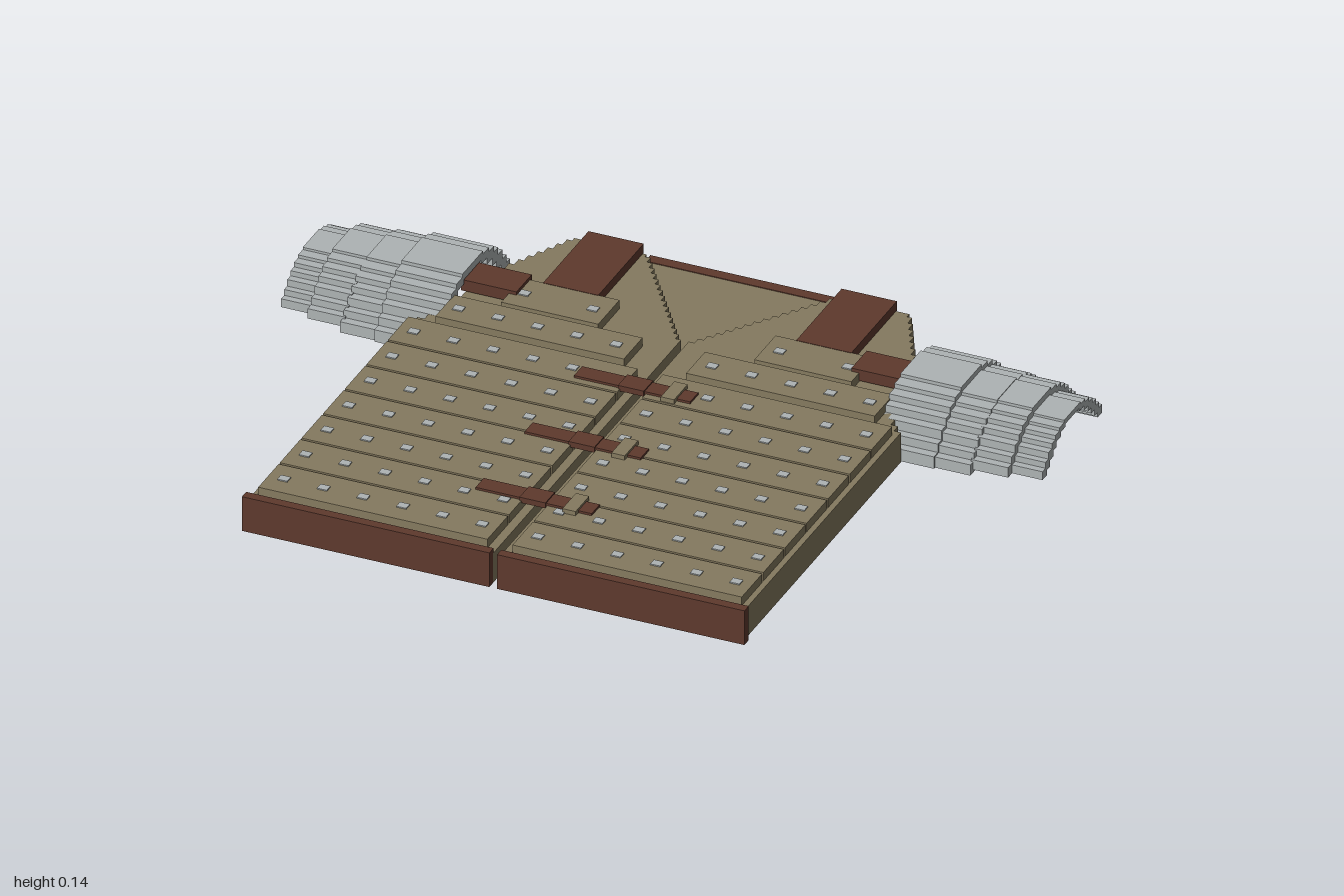
import * as THREE from 'three';

export function createModel() {
  const root = new THREE.Group();
  root.name = 'armourVest';
  const mat = (name, color) => {
    const m = new THREE.MeshStandardMaterial({ color });
    m.name = name;
    return m;
  };
  const cloth = mat('olive cloth', 0x857a5f);
  const leather = mat('brown leather', 0x5e392d);
  const steel = mat('grey steel', 0xaeb3b4);

  // Box given by its limits on each axis
  const box = (parent, name, material, x0, x1, y0, y1, z0, z1) => {
    const mesh = new THREE.Mesh(new THREE.BoxGeometry(Math.abs(x1 - x0), y1 - y0, z1 - z0), material);
    mesh.position.set((x0 + x1) / 2, (y0 + y1) / 2, (z0 + z1) / 2);
    mesh.name = name;
    parent.add(mesh);
    return mesh;
  };

  // Staircase of points from a to b in the ground plane
  const stairs = (a, b, n) => {
    const pts = [];
    for (let i = 0; i < n; i++) {
      const x0 = a[0] + (b[0] - a[0]) * i / n;
      const x1 = a[0] + (b[0] - a[0]) * (i + 1) / n;
      const z = a[1] + (b[1] - a[1]) * (i + 0.5) / n;
      pts.push([x0, z], [x1, z]);
    }
    return pts;
  };

  // Flat slab from an (x, z) outline, standing on the ground
  const slab = (name, pts, height, material) => {
    const shape = new THREE.Shape(pts.map(([x, z]) => new THREE.Vector2(x, z)));
    const geo = new THREE.ExtrudeGeometry(shape, { depth: height, bevelEnabled: false });
    geo.rotateX(Math.PI / 2).translate(0, height, 0);
    const mesh = new THREE.Mesh(geo, material);
    mesh.name = name;
    root.add(mesh);
  };

  // Half outline: front slit, V neck, shoulder, armhole, flank
  const half = [
    [0.01, 0.735], [0.01, -0.36],
    ...stairs([0.01, -0.36], [0.25, -0.705], 16),
    [0.25, -0.705], [0.44, -0.705],
    ...stairs([0.44, -0.705], [0.575, -0.44], 10),
    [0.575, -0.44], [0.575, -0.27],
    ...stairs([0.575, -0.27], [0.65, -0.175], 4),
    [0.65, -0.175], [0.65, 0.735],
  ];

  // Sunken back panel behind the neck opening, and its collar
  slab('backPanel', [[0, -0.355], [0.25, -0.7], [0.26, -0.735], [-0.26, -0.735], [-0.25, -0.7]], 0.045, cloth);
  box(root, 'collar', leather, -0.265, 0.265, 0, 0.047, -0.76, -0.73);

  // Curved pauldron cross-section: [inner dz, outer dz, low y, high y]
  const arc = [
    [0, 0.06, 0.12, 0.14], [0.05, 0.095, 0.108, 0.131], [0.085, 0.125, 0.09, 0.119],
    [0.115, 0.15, 0.068, 0.102], [0.14, 0.175, 0.045, 0.082], [0.165, 0.197, 0.02, 0.056],
    [0.188, 0.22, 0, 0.033],
  ];
  // Pauldron bands: [inner x, outer x, half width, top, bottom]
  const bands = [
    [0.575, 0.735, 0.22, 0.14, 0], [0.73, 0.828, 0.214, 0.126, 0],
    [0.822, 0.92, 0.198, 0.124, 0.008], [0.912, 1.0, 0.175, 0.106, 0.008],
  ];

  // Row of rivets on a plate
  const rivets = (s, xs, y, z) => xs.forEach((x) =>
    box(root, 'rivet', steel, s * x - 0.013, s * x + 0.013, y, y + 0.004, z - 0.011, z + 0.011));
  const spread = (a, b, n) => Array.from({ length: n }, (_, i) => a + (b - a) * i / (n - 1));

  for (const s of [1, -1]) {
    slab('frontHalf', half.map(([x, z]) => [s * x, z]), 0.082, cloth);
    box(root, 'hem', leather, s * 0.01, s * 0.66, 0, 0.095, 0.73, 0.755);

    // Seven belly plates
    for (let i = 0; i < 7; i++) {
      const z = -0.107 + i * 0.127;
      box(root, 'bellyPlate', cloth, s * 0.033, s * 0.635, 0.08, 0.106, z - 0.06, z + 0.06);
      rivets(s, spread(0.073, 0.594, 6), 0.105, z);
    }

    // Chest plates
    box(root, 'chestPlate', cloth, s * 0.082, s * 0.577, 0.08, 0.106, -0.305, -0.195);
    rivets(s, spread(0.126, 0.54, 5), 0.105, -0.25);
    box(root, 'upperChestPlate', cloth, s * 0.205, s * 0.46, 0.08, 0.106, -0.445, -0.32);
    rivets(s, [0.245, 0.425], 0.105, -0.38);

    // Shoulder strap and the strap holding the pauldron
    box(root, 'shoulderStrap', leather, s * 0.26, s * 0.405, 0.08, 0.107, -0.71, -0.443);
    box(root, 'pauldronStrap', leather, s * 0.44, s * 0.585, 0.085, 0.115, -0.455, -0.365);

    // Banded steel pauldron
    const pauldron = new THREE.Group();
    pauldron.name = s > 0 ? 'leftPauldron' : 'rightPauldron';
    root.add(pauldron);
    for (const [x0, x1, w, top, base] of bands) {
      const kz = w / 0.22, ky = (top - base) / 0.14;
      arc.forEach(([d0, d1, y0, y1], i) => {
        for (const t of i ? [1, -1] : [0]) {
          const lo = t === 0 ? -d1 : Math.min(t * d0, t * d1);
          const hi = t === 0 ? d1 : Math.max(t * d0, t * d1);
          box(pauldron, 'pauldronBand', steel, s * x0, s * x1,
            base + y0 * ky, base + y1 * ky, -0.41 + lo * kz, -0.41 + hi * kz);
        }
      });
    }
  }

  // Belts with buckles closing the front
  for (const z of [-0.09, 0.2, 0.488]) {
    box(root, 'belt', leather, -0.155, 0.15, 0.1, 0.112, z - 0.024, z + 0.024);
    box(root, 'beltLoop', leather, -0.038, 0.03, 0.1, 0.115, z - 0.028, z + 0.028);
    box(root, 'buckle', cloth, 0.08, 0.115, 0.104, 0.118, z - 0.04, z + 0.04);
  }
  return root;
}
